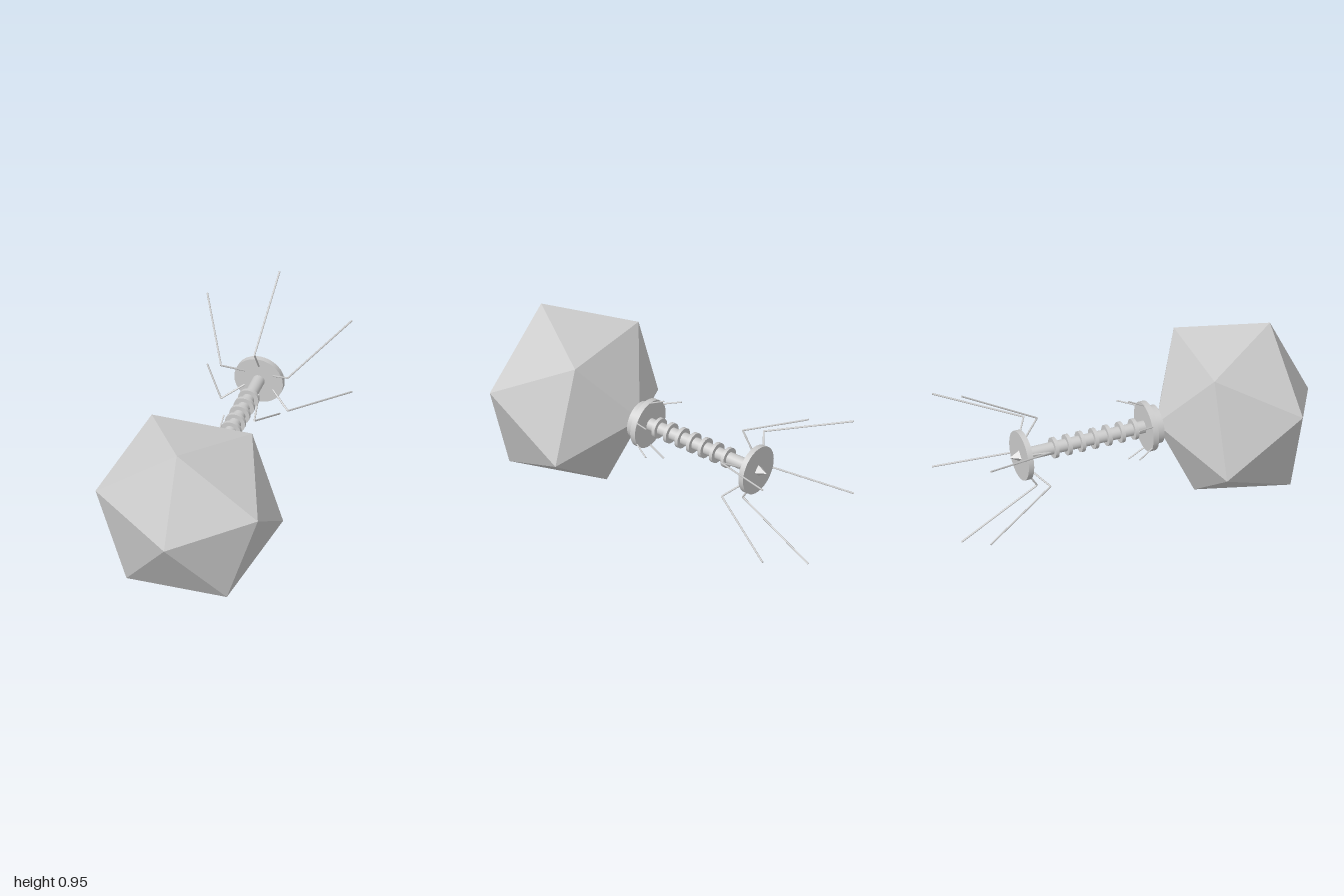
import * as THREE from 'three';

const AXIS_Y = 0.478;
const material = new THREE.MeshStandardMaterial({ color: 0xcccccc });
const flatMaterial = new THREE.MeshStandardMaterial({ color: 0xcccccc, flatShading: true });

// Point around the body axis: angle, radius, z
const polar = (angle, r, z) => new THREE.Vector3(r * Math.cos(angle), r * Math.sin(angle), z);

function addMesh(parent, name, geometry, mat = material) {
  const mesh = new THREE.Mesh(geometry, mat);
  mesh.name = name;
  parent.add(mesh);
  return mesh;
}

// Cylinder along z between two z positions
function addDisc(parent, name, radius, z0, z1, segments = 32) {
  const geometry = new THREE.CylinderGeometry(radius, radius, Math.abs(z1 - z0), segments);
  geometry.rotateX(Math.PI / 2);
  return addMesh(parent, name, geometry).position.z = (z0 + z1) / 2;
}

// Thin straight rod between two points
function addRod(parent, name, a, b, radius) {
  const dir = b.clone().sub(a);
  const rod = addMesh(parent, name, new THREE.CylinderGeometry(radius, radius, dir.length(), 8));
  rod.position.copy(a).add(b).multiplyScalar(0.5);
  rod.quaternion.setFromUnitVectors(new THREE.Vector3(0, 1, 0), dir.normalize());
}

// Twenty-sided head: two poles on z and two staggered rings of five
function headGeometry() {
  const front = new THREE.Vector3(0, 0, 1);
  const back = new THREE.Vector3(0, 0, 0.124);
  const step = (Math.PI * 2) / 5;
  const f = (i) => polar(Math.PI / 2 + i * step, 0.477, 0.78);
  const b = (i) => polar(Math.PI / 2 + (i + 0.5) * step, 0.477, 0.343);
  const points = [];
  for (let i = 0; i < 5; i++) {
    points.push(front, f(i), f(i + 1));
    points.push(f(i), b(i), f(i + 1));
    points.push(f(i + 1), b(i), b(i + 1));
    points.push(back, b(i + 1), b(i));
  }
  const geometry = new THREE.BufferGeometry().setFromPoints(points);
  geometry.computeVertexNormals();
  return geometry;
}

export function createModel() {
  const model = new THREE.Group();
  model.name = 'bacteriophage';
  const body = new THREE.Group();
  body.name = 'body';
  body.position.y = AXIS_Y;
  model.add(body);

  addMesh(body, 'head', headGeometry(), flatMaterial);

  // Neck collar and tail tube
  addDisc(body, 'neck', 0.104, 0.13, 0.085);
  addDisc(body, 'collar', 0.136, 0.085, 0.053);
  addDisc(body, 'tailTube', 0.034, 0.1, -0.65, 24);

  // Sheath rings
  for (let i = 0; i < 7; i++) {
    const z = -0.006 - i * 0.0765;
    addDisc(body, 'sheathRing', 0.057, z + 0.01, z - 0.01);
  }

  // Base plate with four-sided spike
  addDisc(body, 'basePlate', 0.136, -0.635, -0.666);
  const spike = new THREE.ConeGeometry(0.034, 0.056, 4);
  spike.rotateX(-Math.PI / 2);
  addMesh(body, 'spike', spike, flatMaterial).position.z = -0.693;

  // Six bent tail fibres and six collar whiskers
  for (let i = 0; i < 6; i++) {
    const angle = Math.PI / 6 + (i * Math.PI) / 3;
    const fibre = new THREE.Group();
    fibre.name = 'tailFibre';
    body.add(fibre);
    const knee = polar(angle, 0.215, -0.562);
    addRod(fibre, 'upperFibre', polar(angle, 0.08, -0.645), knee, 0.005);
    addRod(fibre, 'lowerFibre', knee, polar(angle, 0.466, -0.998), 0.005);
    addRod(body, 'whisker', polar(angle, 0.125, 0.07), polar(angle, 0.184, -0.037), 0.004);
  }
  return model;
}
